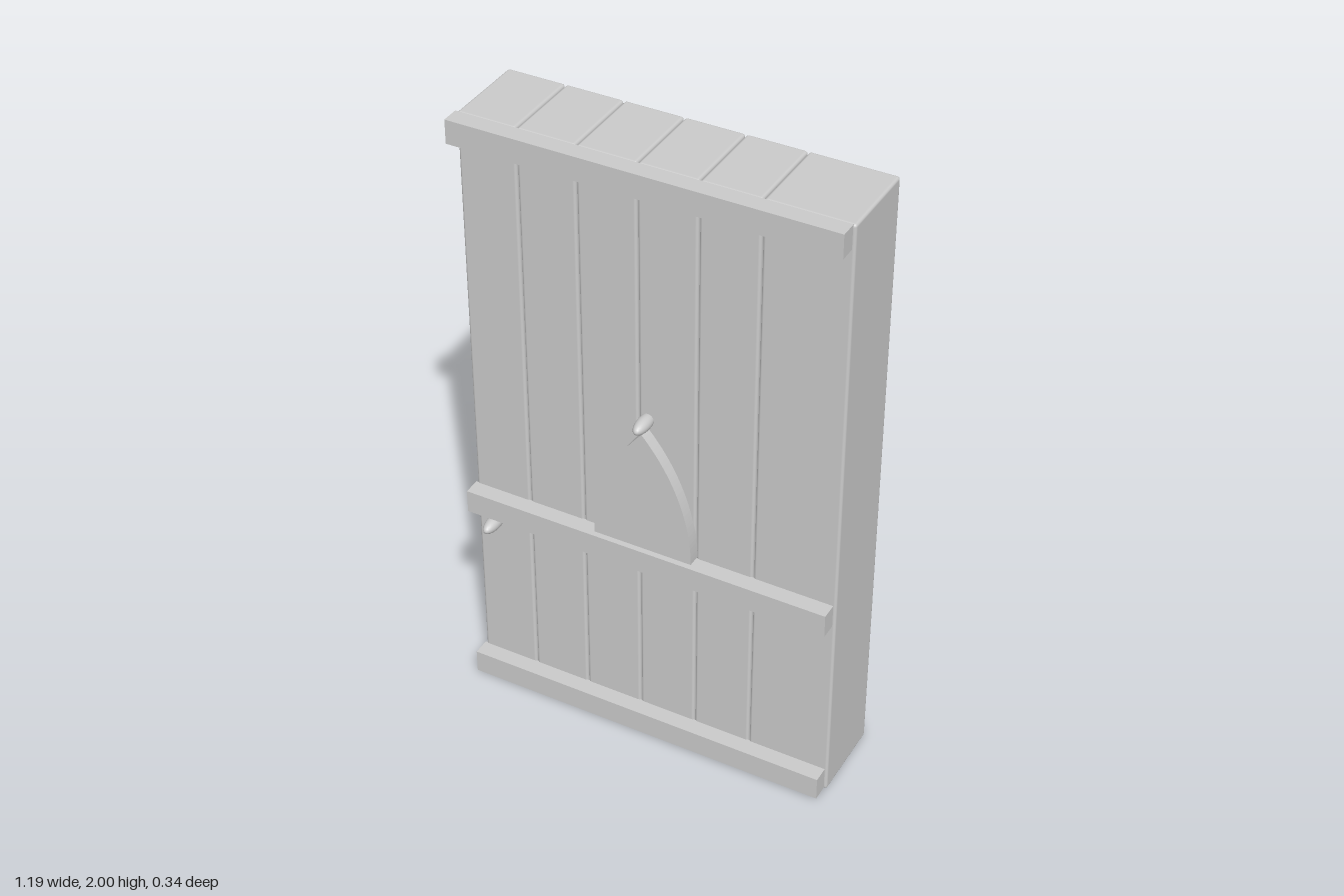
import * as THREE from 'three';
import { RoundedBoxGeometry } from 'three/addons/geometries/RoundedBoxGeometry.js';

const material = new THREE.MeshStandardMaterial({ color: 0xcccccc });
const BACK = -0.172, FACE = 0.099; // rear and front faces of the planks

function addMesh(group, name, geometry, x, y, z) {
  const mesh = new THREE.Mesh(geometry, material);
  mesh.name = name;
  mesh.position.set(x, y, z);
  group.add(mesh);
  return mesh;
}

export function createModel() {
  const door = new THREE.Group();
  door.name = 'plankDoor';

  // Upright planks with softened edges; the last one is wider
  const edges = [-0.592, -0.407, -0.223, -0.037, 0.148, 0.333, 0.597];
  const gap = 0.003;
  for (let i = 0; i < edges.length - 1; i++) {
    const left = edges[i] + (i > 0 ? gap / 2 : 0);
    const right = edges[i + 1] - (i < edges.length - 2 ? gap / 2 : 0);
    addMesh(door, 'plank' + (i + 1),
      new RoundedBoxGeometry(right - left, 2, FACE - BACK, 2, 0.009),
      (left + right) / 2, 1, (FACE + BACK) / 2);
  }

  // Horizontal rails across the front
  const rails = [['bottomRail', 0.004, 0.081], ['middleRail', 0.649, 0.725], ['topRail', 1.925, 2]];
  const railFront = 0.151, railBack = FACE - 0.003;
  for (const [name, low, high] of rails) {
    addMesh(door, name, new THREE.BoxGeometry(1.185, high - low, railFront - railBack),
      -0.0045, (low + high) / 2, (railFront + railBack) / 2);
  }

  // Pointed-arch panel: two circular arcs that rise vertically and meet at the apex
  const w = 0.159, h = 0.412;
  const radius = (w * w + h * h) / (2 * w);
  const sweep = Math.asin(h / radius);
  const arch = new THREE.Shape();
  arch.moveTo(-w, 0);
  arch.lineTo(w, 0);
  arch.absarc(w - radius, 0, radius, 0, sweep, false);
  arch.absarc(radius - w, 0, radius, Math.PI - sweep, Math.PI, false);
  addMesh(door, 'archPanel',
    new THREE.ExtrudeGeometry(arch, { depth: 0.041, bevelEnabled: false, curveSegments: 16 }),
    -0.007, 0.729, 0.096);

  // Elongated knobs
  for (const [name, x, y] of [['archKnob', -0.008, 1.17], ['handleKnob', -0.527, 0.609]]) {
    const knob = addMesh(door, name, new THREE.SphereGeometry(1, 24, 16), x, y, 0.119);
    knob.scale.set(0.022, 0.022, 0.054);
  }

  return door;
}
